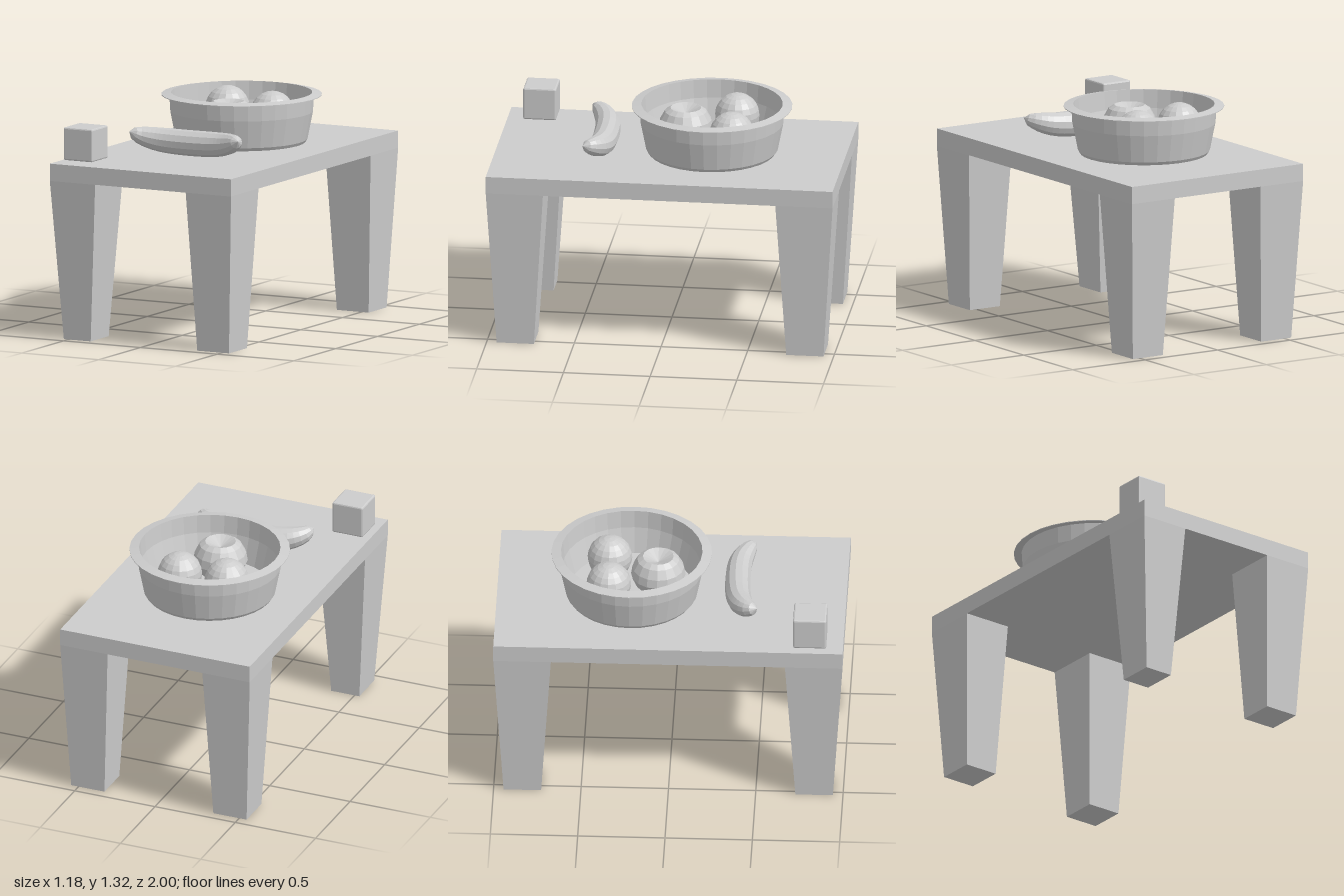
import * as THREE from 'three';
import { RoundedBoxGeometry } from 'three/addons/geometries/RoundedBoxGeometry.js';

export function createModel() {
  const model = new THREE.Group();
  const grey = new THREE.MeshStandardMaterial({ color: 0xcccccc, flatShading: true });
  grey.name = 'plain grey';

  function add(name, geometry, x = 0, y = 0, z = 0, parent = model) {
    const mesh = new THREE.Mesh(geometry, grey);
    mesh.name = name;
    mesh.position.set(x, y, z);
    parent.add(mesh);
    return mesh;
  }
  const lathe = (points, sides) =>
    new THREE.LatheGeometry(points.map(([r, y]) => new THREE.Vector2(r, y)), sides);

  // Table top
  add('tableTop', new THREE.BoxGeometry(1.18, 0.1, 2), 0, 0.97, 0);

  // Legs: boxes narrowed towards the foot
  function leg(footX, footZ) {
    const g = new THREE.BoxGeometry(0.295, 0.92, 0.33);
    const p = g.attributes.position;
    for (let i = 0; i < p.count; i++) {
      if (p.getY(i) < 0) {
        p.setX(i, Math.sign(p.getX(i)) * footX / 2);
        p.setZ(i, Math.sign(p.getZ(i)) * footZ / 2);
      }
    }
    g.computeVertexNormals();
    return g;
  }
  const legs = new THREE.Group();
  legs.name = 'legs';
  model.add(legs);
  for (const sx of [-1, 1]) {
    for (const sz of [-1, 1]) {
      const slim = sx < 0 && sz > 0;
      const name = (sz > 0 ? 'front' : 'back') + (sx > 0 ? 'Left' : 'Right') + 'Leg';
      add(name, leg(slim ? 0.175 : 0.207, 0.215), sx * 0.4425, 0.46, sz * 0.835, legs);
    }
  }

  // Bowl with a thin flared rim
  add('bowl', lathe([
    [0, 1.021], [0.365, 1.021], [0.378, 1.04], [0.41, 1.2], [0.416, 1.298],
    [0.46, 1.293], [0.46, 1.297], [0.405, 1.307],
    [0.395, 1.2], [0.355, 1.05], [0, 1.05],
  ], 32), -0.01, 0, -0.23);

  // Round fruits
  add('rightFruit', new THREE.SphereGeometry(0.128, 16, 12), -0.17, 1.188, -0.355);
  add('leftFruit', new THREE.SphereGeometry(0.128, 16, 12), 0.12, 1.176, -0.36);

  // Apple with a dimple at the top
  add('apple', lathe([
    [0, 1.051], [0.08, 1.053], [0.13, 1.095], [0.156, 1.155], [0.148, 1.205],
    [0.12, 1.255], [0.088, 1.276], [0.062, 1.264], [0, 1.235],
  ], 16), -0.012, 0, -0.078);

  // Banana: a curved tube thinned towards both ends
  const spine = new THREE.CatmullRomCurve3([
    [-0.345, 1.155, 0.5], [-0.3, 1.128, 0.445], [-0.2, 1.105, 0.398], [0, 1.096, 0.377],
    [0.2, 1.105, 0.388], [0.3, 1.128, 0.43], [0.347, 1.145, 0.472],
  ].map((p) => new THREE.Vector3(...p)));
  const rings = 24, sides = 12;
  const banana = new THREE.TubeGeometry(spine, rings, 1, sides);
  const pos = banana.attributes.position;
  const v = new THREE.Vector3();
  for (let i = 0; i <= rings; i++) {
    const centre = spine.getPointAt(i / rings);
    const r = 0.074 * Math.sqrt(1 - Math.abs(2 * i / rings - 1) ** 3);
    for (let j = 0; j <= sides; j++) {
      const k = i * (sides + 1) + j;
      v.fromBufferAttribute(pos, k).sub(centre).multiplyScalar(r).add(centre);
      pos.setXYZ(k, v.x, v.y, v.z);
    }
  }
  banana.computeVertexNormals();
  add('banana', banana);

  // Small block with softened edges
  add('block', new RoundedBoxGeometry(0.19, 0.19, 0.19, 1, 0.009), -0.46, 1.125, 0.81);

  return model;
}
